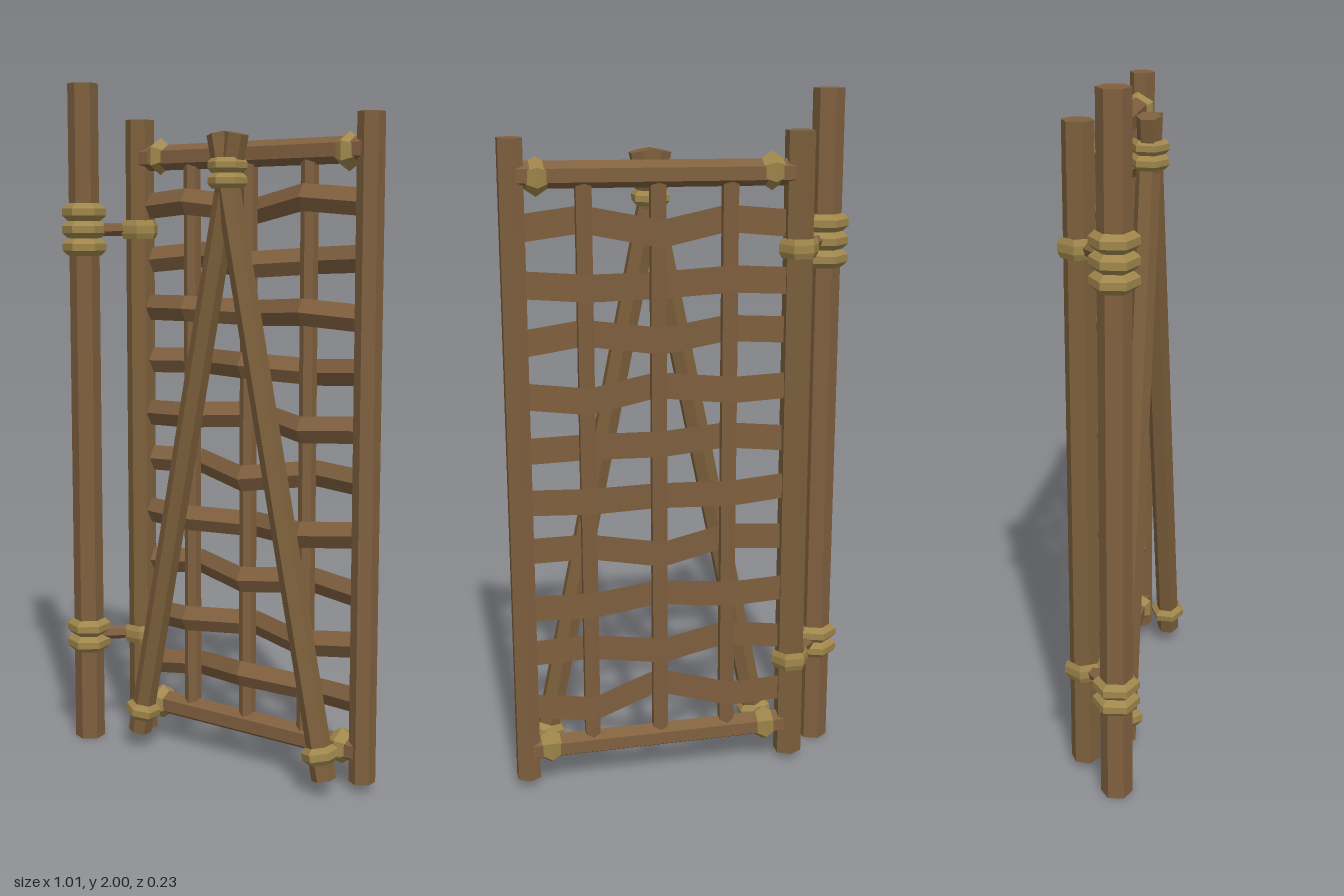
import * as THREE from 'three';

const paint = (name, color) => {
  const m = new THREE.MeshStandardMaterial({ color, flatShading: true });
  m.name = name;
  return m;
};

const V = (x, y, z) => new THREE.Vector3(x, y, z);
const UP = V(0, 1, 0);
const GATE_Z = -0.067;

export function createModel() {
  const wood = paint('brown wood', 0x80603f);
  const paleWood = paint('pale wood', 0x7d603c);
  const rope = paint('rope', 0xa0874c);
  const model = new THREE.Group();

  const add = (name, geometry, material) => {
    const mesh = new THREE.Mesh(geometry, material);
    mesh.name = name;
    model.add(mesh);
    return mesh;
  };

  // Places a geometry made along y so that it points along dir
  const aim = (mesh, centre, dir) => {
    mesh.position.copy(centre);
    mesh.quaternion.setFromUnitVectors(UP, dir.clone().normalize());
  };

  // Six-sided pole between two points
  const pole = (name, a, b, r, material, spin = 0) => {
    const dir = b.clone().sub(a);
    const g = new THREE.CylinderGeometry(r, r, dir.length(), 6).rotateY(spin);
    aim(add(name, g, material), a.clone().add(b).multiplyScalar(0.5), dir);
  };

  // Stack of bulging six-sided rope turns
  const binding = (name, centre, dir, rEnd, rMid, height, turns = 1, spin = 0) => {
    const step = height / turns;
    const profile = [new THREE.Vector2(rEnd, -height / 2)];
    for (let i = 0; i < turns; i++) {
      const y = -height / 2 + i * step;
      profile.push(new THREE.Vector2(rMid, y + step * 0.3), new THREE.Vector2(rMid, y + step * 0.7));
      profile.push(new THREE.Vector2(rEnd, y + step));
    }
    aim(add(name, new THREE.LatheGeometry(profile, 6).rotateY(spin), rope), centre, dir);
  };

  // Hinge post and gate frame
  const postX = -0.446, postZ = 0.052, postSpin = 0.16;
  pole('hingePost', V(postX, 0, postZ), V(postX, 2, postZ), 0.045, wood, postSpin);
  pole('hingeStile', V(-0.327, 0.02, GATE_Z), V(-0.327, 1.895, GATE_Z), 0.043, paleWood);
  pole('latchStile', V(0.472, 0.025, GATE_Z), V(0.472, 1.89, GATE_Z), 0.038, wood);
  pole('topRail', V(-0.32, 1.782, GATE_Z), V(0.47, 1.792, GATE_Z), 0.037, wood, Math.PI / 6);
  pole('bottomRail', V(-0.32, 0.118, GATE_Z), V(0.47, 0.115, GATE_Z), 0.037, wood, Math.PI / 6);
  for (const x of [-0.248, 0.405]) {
    for (const y of [0.117, 1.787]) {
      const g = new THREE.LatheGeometry([[0.034, -0.03], [0.054, 0], [0.034, 0.03]]
        .map(p => new THREE.Vector2(...p)), 6).rotateY(Math.PI / 6);
      aim(add('railBinding', g, rope), V(x, y, GATE_Z), V(1, 0, 0));
    }
  }

  // Hinges: rope turns on the post, an arm and a loose loop on the stile
  for (const [y, turns, height] of [[1.573, 3, 0.155], [0.328, 2, 0.1]]) {
    binding('postBinding', V(postX, y, postZ), UP, 0.049, 0.066, height, turns, postSpin);
    pole('hingeArm', V(postX, y, postZ), V(-0.327, y, GATE_Z), 0.02, wood);
    binding('hingeLoop', V(-0.33, y, GATE_Z), UP, 0.051, 0.058, 0.056, 1, Math.PI / 6);
  }

  // Upright staves
  const staves = [-0.13, 0.073, 0.278];
  for (const x of staves) pole('stave', V(x, 0.11, GATE_Z), V(x, 1.785, GATE_Z), 0.025, wood);

  // Woven slats: triangular section with a flat back, passing alternately before and behind
  const rows = [
    [1.64, 1.655, 1.63, 1.665, 1.65],
    [1.48, 1.5, 1.475, 1.49, 1.5],
    [1.34, 1.345, 1.335, 1.35, 1.335],
    [1.18, 1.185, 1.19, 1.175, 1.19],
    [1.02, 1.03, 1.04, 1.02, 1.03],
    [0.88, 0.88, 0.86, 0.885, 0.88],
    [0.72, 0.72, 0.71, 0.72, 0.735],
    [0.56, 0.57, 0.56, 0.57, 0.56],
    [0.4, 0.41, 0.41, 0.405, 0.42],
    [0.235, 0.25, 0.275, 0.245, 0.255],
  ];
  const section = [[0.038, -0.008], [0, 0.014], [-0.038, -0.008]];
  const xs = [-0.32, ...staves, 0.465];
  rows.forEach((ys, row) => {
    const position = [], index = [];
    xs.forEach((x, i) => {
      const side = i === 0 || i === 4 ? 0 : (i + row) % 2 ? 1 : -1;
      for (const [dy, dz] of section) position.push(x, ys[i] + dy, GATE_Z + side * 0.042 + dz);
      if (i === 4) return;
      for (let j = 0; j < 3; j++) {
        const a = i * 3 + j, b = i * 3 + (j + 1) % 3;
        index.push(a, b, b + 3, a, b + 3, a + 3);
      }
    });
    let g = new THREE.BufferGeometry();
    g.setAttribute('position', new THREE.Float32BufferAttribute(position, 3));
    g.setIndex(index);
    g = g.toNonIndexed();
    g.computeVertexNormals();
    add('wovenSlat', g, wood);
  });

  // Crossed braces on the front, lashed at the top and at both feet
  const braces = [
    [V(-0.26, 0.05, 0.033), V(0.1, 1.84, 0.033), -0.246],
    [V(0.412, 0.05, 0.039), V(0.045, 1.84, 0.039), 0.398],
  ];
  for (const [foot, tip, x] of braces) {
    pole('brace', foot, tip, 0.035, paleWood);
    binding('footBinding', V(x, 0.12, foot.z), tip.clone().sub(foot), 0.038, 0.053, 0.05);
  }
  binding('topBinding', V(0.072, 1.732, 0.036), UP, 0.044, 0.056, 0.085, 2);

  return model;
}
